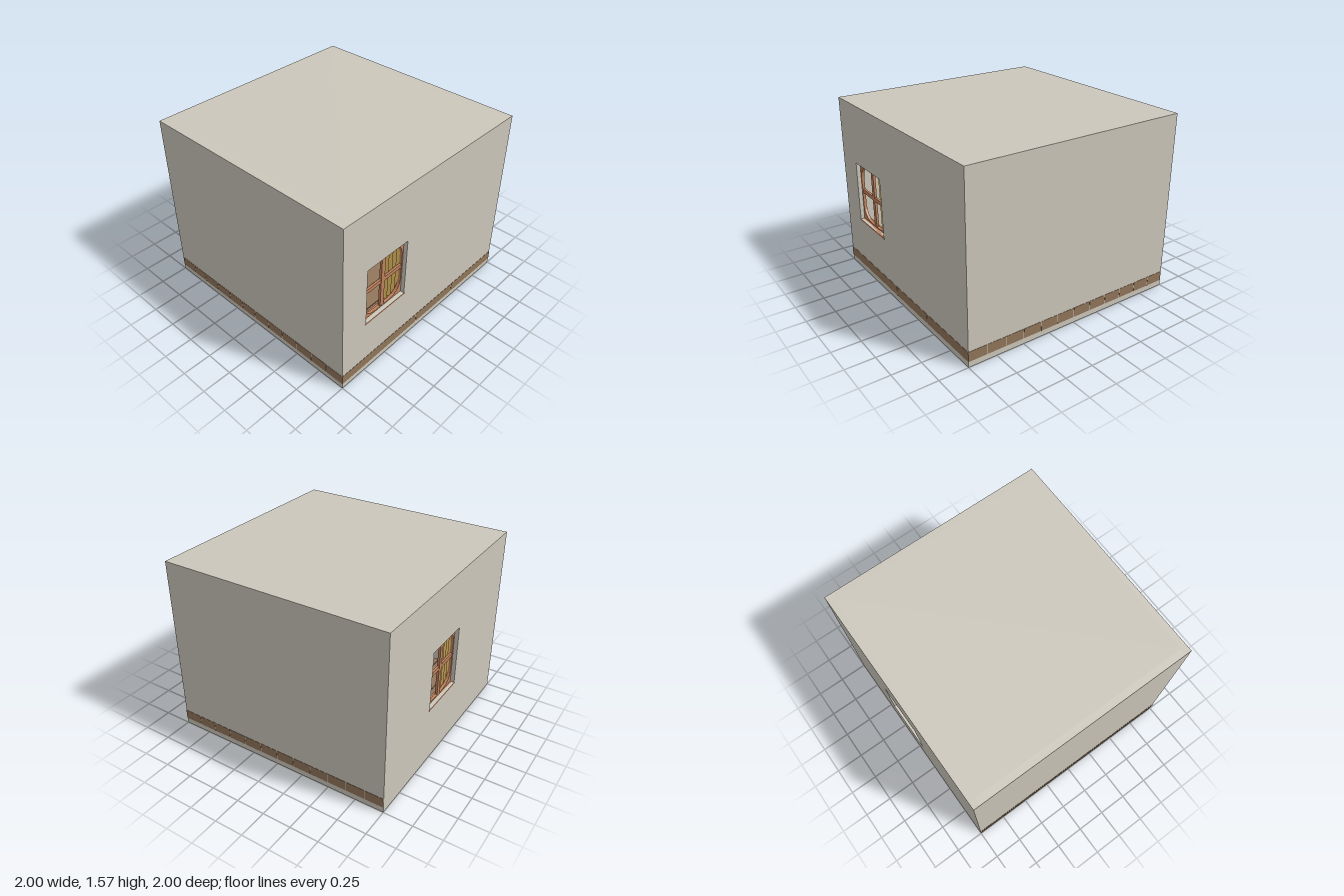
import * as THREE from 'three';

const mat = (name, color, side = THREE.FrontSide) => {
  const m = new THREE.MeshStandardMaterial({ color, side });
  m.name = name;
  return m;
};

export function createModel() {
  const wallMat = mat('plaster', 0xccc7bb);
  const floorMat = mat('floor wood', 0x92765a, THREE.DoubleSide);
  const frameMat = mat('red wood', 0xbf825e);
  const goldMat = mat('gold fabric', 0xdeb661, THREE.DoubleSide);

  const room = new THREE.Group();
  room.name = 'room';
  const H = 1.57, T = 0.06;
  const winW = 0.45, winH = 0.53, winY = 0.78;

  const add = (parent, name, geo, material, x = 0, y = 0, z = 0) => {
    const m = new THREE.Mesh(geo, material);
    m.name = name;
    m.position.set(x, y, z);
    parent.add(m);
    return m;
  };
  const box = (parent, name, material, x0, x1, y0, y1, z0, z1) =>
    add(parent, name, new THREE.BoxGeometry(x1 - x0, y1 - y0, z1 - z0), material,
      (x0 + x1) / 2, (y0 + y1) / 2, (z0 + z1) / 2);
  const rect = (Shape, x0, x1, y0, y1) => {
    const s = new Shape();
    s.moveTo(x0, y0);
    s.lineTo(x1, y0);
    s.lineTo(x1, y1);
    s.lineTo(x0, y1);
    s.closePath();
    return s;
  };

  // Front and back walls, each with a window opening
  const windowWall = (name, cx, z) => {
    const s = rect(THREE.Shape, -1, 1, 0, H);
    s.holes.push(rect(THREE.Path, cx - winW / 2, cx + winW / 2, winY - winH / 2, winY + winH / 2));
    add(room, name, new THREE.ExtrudeGeometry(s, { depth: T, bevelEnabled: false }), wallMat, 0, 0, z);
  };
  windowWall('frontWall', -0.52, 1 - T);
  windowWall('backWall', 0.075, -1);
  box(room, 'leftWall', wallMat, 1 - T, 1, 0, H, -1 + T, 1 - T);
  box(room, 'rightWall', wallMat, -1, -1 + T, 0, H, -1 + T, 1 - T);
  box(room, 'ceiling', wallMat, -1 + T, 1 - T, H - T, H, -1 + T, 1 - T);

  // Floorboards, open underneath, with staggered joints
  const joints = [[-0.1, 0.4], [], [-0.4], [-0.4], [0.4], [], [-0.4], [0.4], [], [-0.4], [0.19, 0.4], []];
  const floor = new THREE.Group();
  floor.name = 'floor';
  room.add(floor);
  const pitch = 2 / 12, gap = 0.003;
  joints.forEach((cuts, i) => {
    const z1 = i === 0 ? 1.002 : 1 - i * pitch - gap;
    const z0 = 1 - (i + 1) * pitch + gap;
    const ends = [-1.002 - gap, ...cuts, 1.002 + gap];
    for (let k = 0; k < ends.length - 1; k++) {
      const board = box(floor, 'floorboard', floorMat, ends[k] + gap, ends[k + 1] - gap, 0.05, 0.135, z0, z1);
      const index = [...board.geometry.index.array];
      index.splice(18, 6); // drop the underside
      board.geometry.setIndex(index);
      board.geometry.clearGroups();
    }
  });

  // Window with rounded inner frame, crossbars, sill and a pleated curtain
  const makeWindow = (name) => {
    const g = new THREE.Group();
    g.name = name;
    const shape = rect(THREE.Shape, -winW / 2, winW / 2, -winH / 2, winH / 2);
    const quarter = [[0.215, 0.13], [0.205, 0.175], [0.18, 0.215], [0.14, 0.245], [0.08, 0.256]];
    const flip = (a, sx, sy) => a.map(([x, y]) => new THREE.Vector2(x * sx, y * sy));
    const rev = [...quarter].reverse();
    shape.holes.push(new THREE.Path([
      ...flip(quarter, 1, 1), ...flip(rev, -1, 1), ...flip(quarter, -1, -1), ...flip(rev, 1, -1)]));
    add(g, 'windowFrame', new THREE.ExtrudeGeometry(shape, { depth: 0.025, bevelEnabled: false }), frameMat, 0, 0, -0.06);
    box(g, 'verticalBar', frameMat, -0.02, 0.02, -0.258, 0.258, -0.058, -0.037);
    box(g, 'horizontalBar', frameMat, -0.217, 0.217, -0.018, 0.018, -0.058, -0.039);
    box(g, 'sill', frameMat, -0.235, 0.235, -0.277, -0.265, -0.08, 0.002);

    // Zigzag pleats
    const pleats = 4, step = 0.0225, pos = [];
    const pt = (k) => [0.06 + k * step, k % 2 ? -0.055 : -0.09];
    for (let k = 0; k < pleats * 2; k++) {
      const [xa, za] = pt(k), [xb, zb] = pt(k + 1);
      const b = -0.3, t = 0.3;
      pos.push(xa, b, za, xb, b, zb, xb, t, zb, xa, b, za, xb, t, zb, xa, t, za);
    }
    const cloth = new THREE.BufferGeometry();
    cloth.setAttribute('position', new THREE.Float32BufferAttribute(pos, 3));
    cloth.computeVertexNormals();
    add(g, 'curtain', cloth, goldMat);
    room.add(g);
    return g;
  };
  makeWindow('frontWindow').position.set(-0.52, winY, 1);
  const back = makeWindow('backWindow');
  back.position.set(0.075, winY, -1);
  back.rotation.y = Math.PI;

  // Chest beside the front window, with a small stepped ornament
  box(room, 'chest', frameMat, -0.93, -0.62, 0.135, 0.5, 0.35, 0.65);
  const ornament = [[0, 0.5], [0.13, 0.5], [0.12, 0.55], [0.06, 0.56], [0.05, 0.6], [0.03, 0.64], [0, 0.65]]
    .map(([r, y]) => new THREE.Vector2(r, y));
  add(room, 'ornament', new THREE.LatheGeometry(ornament, 16), goldMat, -0.75, 0, 0.5);

  // Round wall clock on the back wall
  const clock = new THREE.Group();
  clock.name = 'clock';
  clock.position.set(-0.55, 1.03, -1 + T + 0.01);
  add(clock, 'clockRim', new THREE.TorusGeometry(0.115, 0.012, 8, 32), goldMat);
  box(clock, 'minuteHand', frameMat, -0.006, 0.006, 0, 0.08, 0, 0.006);
  box(clock, 'hourHand', frameMat, -0.05, 0.006, -0.006, 0.006, 0, 0.006);
  room.add(clock);

  return room;
}
